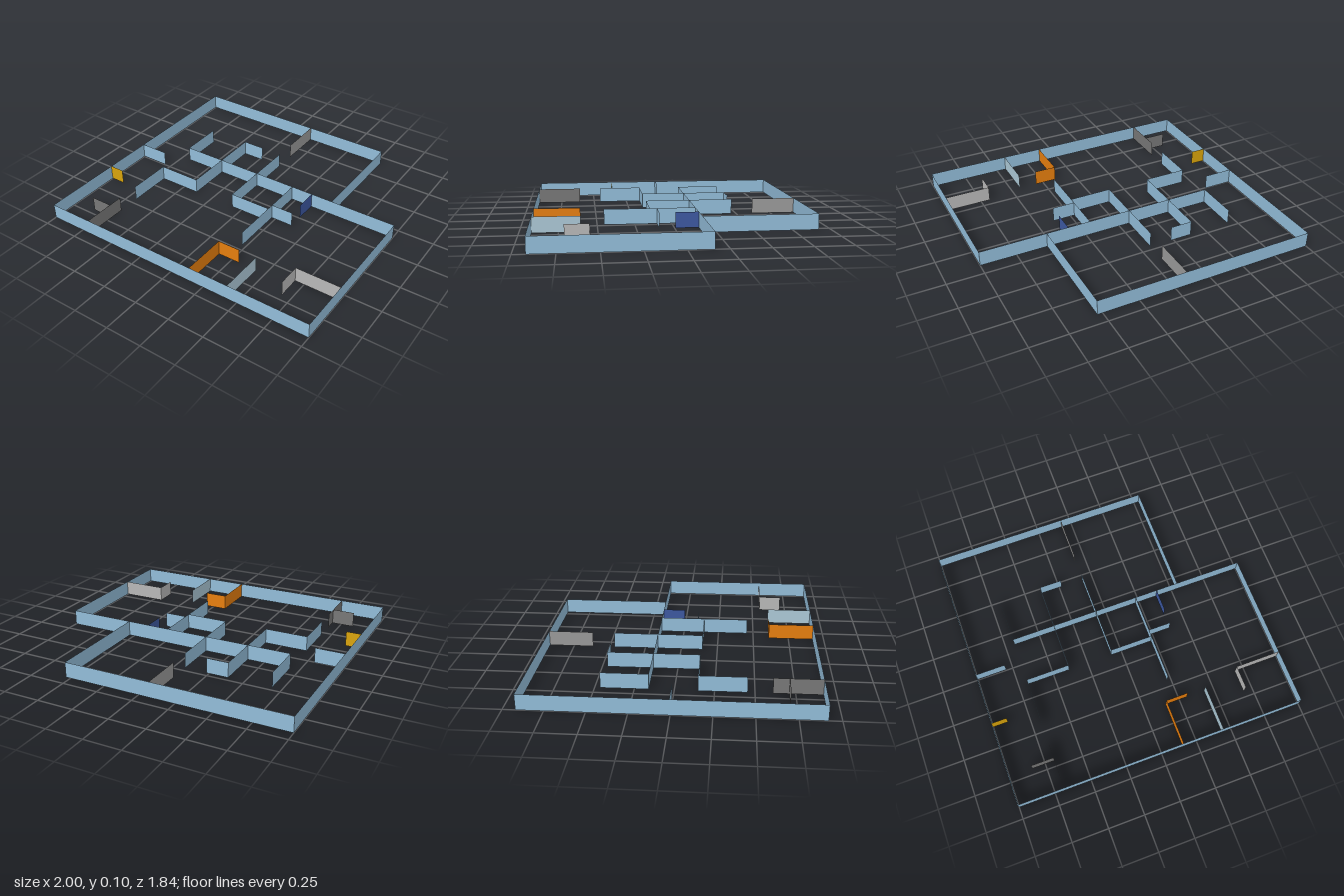
import * as THREE from 'three';

const HEIGHT = 0.105;

const paint = (color) => new THREE.MeshStandardMaterial({ color, side: THREE.DoubleSide });

// One thin upright panel between two floor points
function panel(name, material, [x1, z1, x2, z2]) {
  const geo = new THREE.PlaneGeometry(Math.hypot(x2 - x1, z2 - z1), HEIGHT);
  const mesh = new THREE.Mesh(geo, material);
  mesh.name = name;
  mesh.position.set((x1 + x2) / 2, HEIGHT / 2, (z1 + z2) / 2);
  mesh.rotation.y = -Math.atan2(z2 - z1, x2 - x1);
  return mesh;
}

// Each set: name, colour, panels as floor lines x1, z1, x2, z2
const SETS = [
  ['outerWall', 0x92bcd8, [
    [-1, -0.92, 0.535, -0.92],
    [0.535, -0.92, 0.535, -0.16],
    [1, -0.16, 1, 0.92],
    [1, 0.92, -1, 0.92],
    [-1, 0.92, -1, -0.92],
  ]],
  ['innerWall', 0x92bcd8, [
    [-0.685, -0.16, 1, -0.16],
    [-0.685, -0.465, -0.685, -0.16],
    [-0.385, -0.465, -0.23, -0.465],
    [-0.385, -0.465, -0.385, 0.147],
    [-0.685, 0.147, -0.385, 0.147],
    [-0.685, 0.147, -0.685, 0.455],
    [-0.075, -0.465, -0.075, 0.147],
    [-0.075, 0.147, 0.222, 0.147],
    [0.222, -0.16, 0.222, 0.455],
    [0.222, 0.1, 0.38, 0.1],
    [-1, -0.005, -0.795, -0.005],
  ]],
  ['paleStub', 0xacc8d6, [[0.433, 0.61, 0.433, 0.92]]],
  ['navyStub', 0x3c58a0, [[0.38, -0.16, 0.38, -0.005]]],
  ['goldStub', 0xd9a40c, [[-1, 0.352, -0.895, 0.352]]],
  ['orangeCorner', 0xe67e0e, [
    [0.15, 0.61, 0.15, 0.92],
    [0.15, 0.61, 0.305, 0.61],
  ]],
  ['lightGreyCorner', 0xb8b8b8, [
    [0.687, 0.555, 1, 0.555],
    [0.687, 0.555, 0.687, 0.71],
  ]],
  ['greyBackStub', 0x999999, [[-0.075, -0.92, -0.075, -0.615]]],
  ['darkGreyTee', 0x777777, [
    [-0.685, 0.61, -0.685, 0.92],
    [-0.84, 0.71, -0.685, 0.71],
  ]],
];

export function createModel() {
  const model = new THREE.Group();
  model.name = 'floorPlan';
  for (const [name, color, lines] of SETS) {
    const group = new THREE.Group();
    group.name = name;
    const material = paint(color);
    lines.forEach((line, i) => group.add(panel(`${name}Panel${i + 1}`, material, line)));
    model.add(group);
  }
  return model;
}
